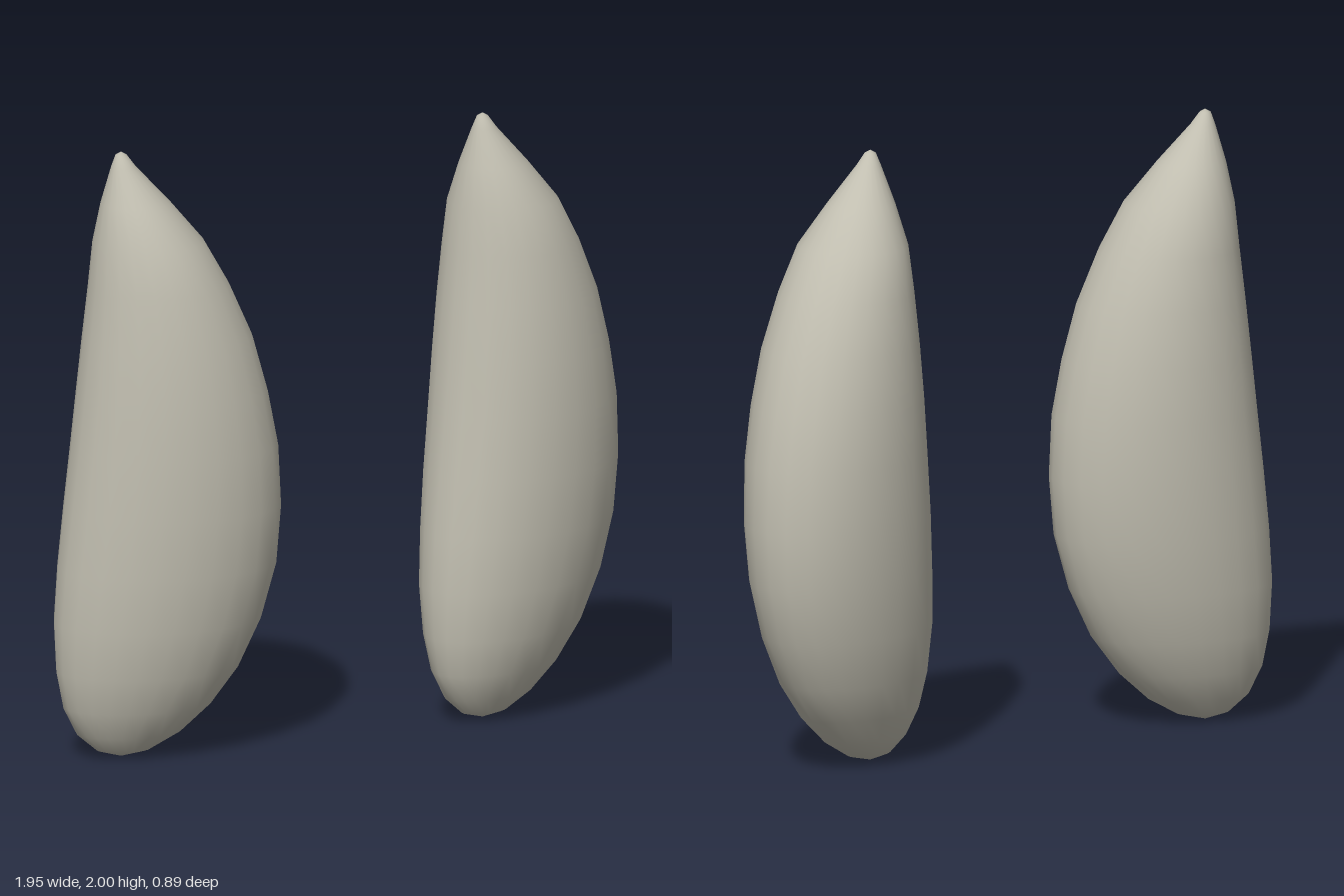
import * as THREE from 'three';

// Cross-sections from tip to base: height, inner edge, outer edge, half depth
const SECTIONS = [
  [1.99, -0.018, 0.018, 0.018],
  [1.95, -0.032, 0.048, 0.04],
  [1.83, -0.065, 0.16, 0.11],
  [1.70, -0.09, 0.27, 0.18],
  [1.55, -0.105, 0.355, 0.215],
  [1.38, -0.125, 0.43, 0.24],
  [1.20, -0.145, 0.48, 0.255],
  [1.02, -0.165, 0.515, 0.26],
  [0.82, -0.188, 0.525, 0.258],
  [0.63, -0.208, 0.51, 0.245],
  [0.45, -0.22, 0.46, 0.225],
  [0.29, -0.213, 0.385, 0.19],
  [0.17, -0.19, 0.295, 0.148],
  [0.08, -0.145, 0.195, 0.1],
  [0.025, -0.08, 0.095, 0.055],
];
const SIDES = 24;

// Closed skin of elliptical rings with a shared vertex at each end
function podGeometry() {
  const positions = [];
  const index = [];
  for (const [y, x0, x1, depth] of SECTIONS) {
    for (let j = 0; j < SIDES; j++) {
      const t = (j / SIDES) * Math.PI * 2;
      positions.push((x0 + x1) / 2 + ((x1 - x0) / 2) * Math.cos(t), y, depth * Math.sin(t));
    }
  }
  const tip = positions.length / 3;
  const base = tip + 1;
  positions.push(0, 2, 0, 0, 0.003, 0);

  const last = (SECTIONS.length - 1) * SIDES;
  for (let j = 0; j < SIDES; j++) {
    const k = (j + 1) % SIDES;
    index.push(tip, k, j);
    for (let row = 0; row < last; row += SIDES) {
      const a = row + j, b = row + k;
      index.push(a, b, a + SIDES, b, b + SIDES, a + SIDES);
    }
    index.push(last + j, last + k, base);
  }
  const geometry = new THREE.BufferGeometry();
  geometry.setAttribute('position', new THREE.Float32BufferAttribute(positions, 3));
  geometry.setIndex(index);
  geometry.computeVertexNormals();
  return geometry;
}

export function createModel() {
  const group = new THREE.Group();
  group.name = 'podPair';
  const stone = new THREE.MeshStandardMaterial({ color: 0xc2bfb1 });
  stone.name = 'warm grey';
  const geometry = podGeometry();

  // Two equal pods, one turned about its upright axis
  const addPod = (name, x, z, turn) => {
    const pod = new THREE.Mesh(geometry, stone);
    pod.name = name;
    pod.position.set(x, 0, z);
    pod.rotation.y = turn;
    group.add(pod);
  };
  addPod('rightPod', -0.76, 0.185, 0);
  addPod('leftPod', 0.495, -0.08, Math.PI / 6);
  return group;
}
